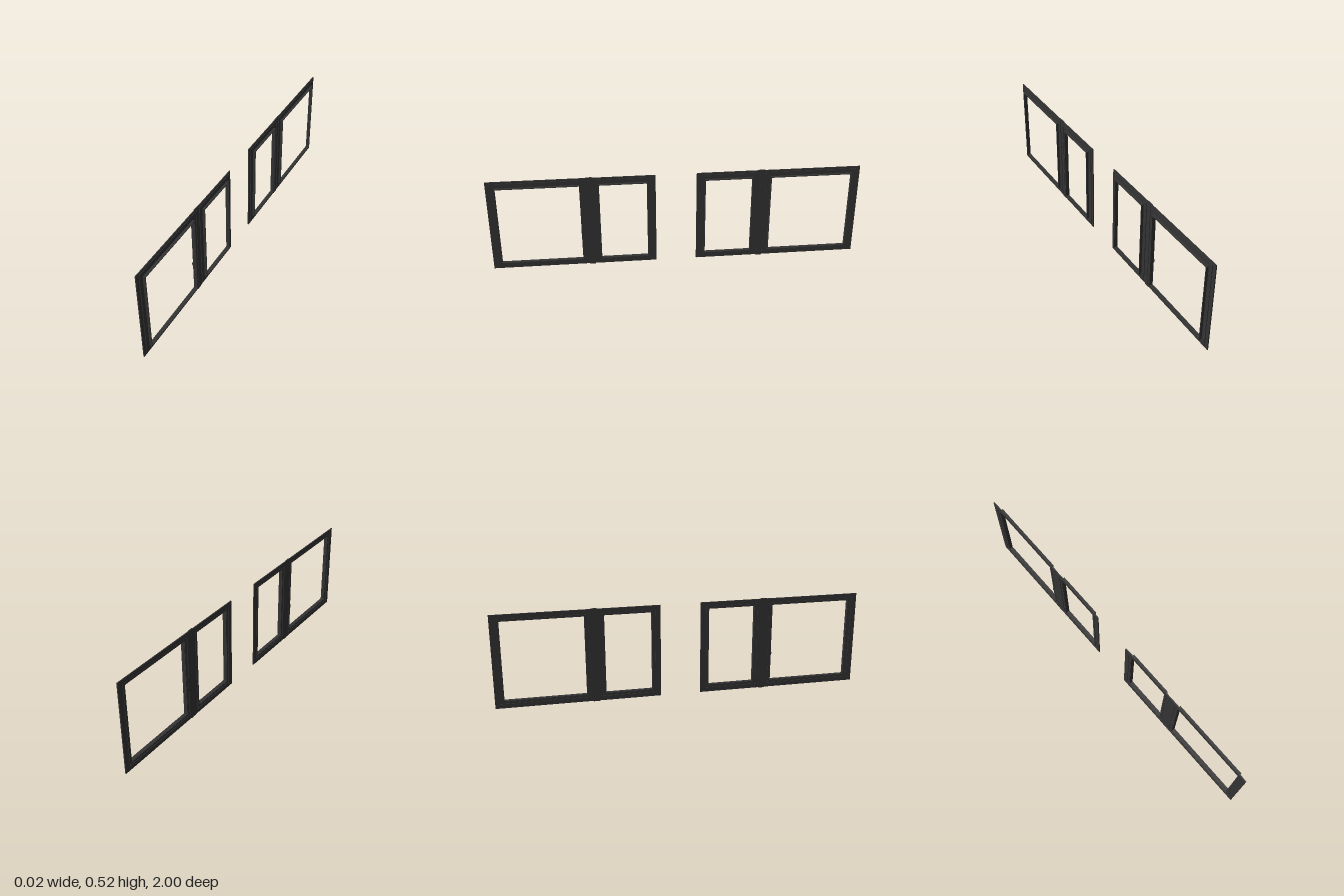
import * as THREE from 'three';

const dark = new THREE.MeshStandardMaterial({ color: 0x333333 });

// Rectangle path in the z-y plane
function rect(path, z0, z1, y0, y1) {
  path.moveTo(z0, y0);
  path.lineTo(z1, y0);
  path.lineTo(z1, y1);
  path.lineTo(z0, y1);
  path.closePath();
  return path;
}

export function createModel() {
  const model = new THREE.Group();

  for (const side of [1, -1]) {
    const win = new THREE.Group();
    win.name = side > 0 ? 'frontWindow' : 'backWindow';
    model.add(win);

    const add = (name, geometry) => {
      const mesh = new THREE.Mesh(geometry, dark);
      mesh.name = name;
      win.add(mesh);
      return mesh;
    };
    const span = (a, b) => (side > 0 ? [a, b] : [-b, -a]);

    // Rectangular ring of border w, or a border per opening, from x0 to x1
    const ring = (name, a, b, y0, y1, x0, x1, holes) => {
      const shape = rect(new THREE.Shape(), ...span(a, b), y0, y1);
      for (const [ha, hb, hy0, hy1] of holes) {
        shape.holes.push(rect(new THREE.Path(), ...span(ha, hb), hy0, hy1));
      }
      const geo = new THREE.ExtrudeGeometry(shape, { depth: x1 - x0, bevelEnabled: false });
      geo.rotateY(-Math.PI / 2).translate(x1, 0, 0);
      return add(name, geo);
    };
    const box = (name, x0, x1, y0, y1, a, b) => {
      const geo = new THREE.BoxGeometry(x1 - x0, y1 - y0, b - a);
      return add(name, geo.translate((x0 + x1) / 2, (y0 + y1) / 2, side * (a + b) / 2));
    };

    // Outer frame with two lights
    ring('outerFrame', 0.11, 1, 0.003, 0.519, -0.0118, -0.006, [
      [0.138, 0.43, 0.027, 0.495],
      [0.493, 0.972, 0.027, 0.495],
    ]);
    // Full-height centre post with a cover strip on each face
    box('centrePost', -0.0118, -0.0055, 0, 0.522, 0.447, 0.481);
    box('postCover', -0.0055, -0.003, 0.012, 0.508, 0.455, 0.472);

    // Narrow and wide sash: stepped profile and deep inner lining
    for (const [name, a, b] of [['narrow', 0.155, 0.412], ['wide', 0.512, 0.953]]) {
      const hole = [[a, b, 0.041, 0.483]];
      ring(name + 'Sash', a - 0.028, b + 0.026, 0.013, 0.509, -0.0085, -0.0025, hole);
      ring(name + 'SashFace', a - 0.012, b + 0.012, 0.031, 0.493, -0.0108, -0.0085, hole);
      ring(name + 'Lining', a - 0.002, b + 0.002, 0.039, 0.485, -0.0095, 0.0113,
        [[a + 0.002, b - 0.002, 0.043, 0.481]]);
    }

    // Handle on the wide sash beside the post
    box('handlePlate', -0.0122, -0.0105, 0.172, 0.212, 0.493, 0.503);
    box('handleLever', -0.0129, -0.0118, 0.175, 0.262, 0.495, 0.501);
    box('handleCatch', -0.0129, -0.0085, 0.19, 0.208, 0.5, 0.516);
  }
  return model;
}
